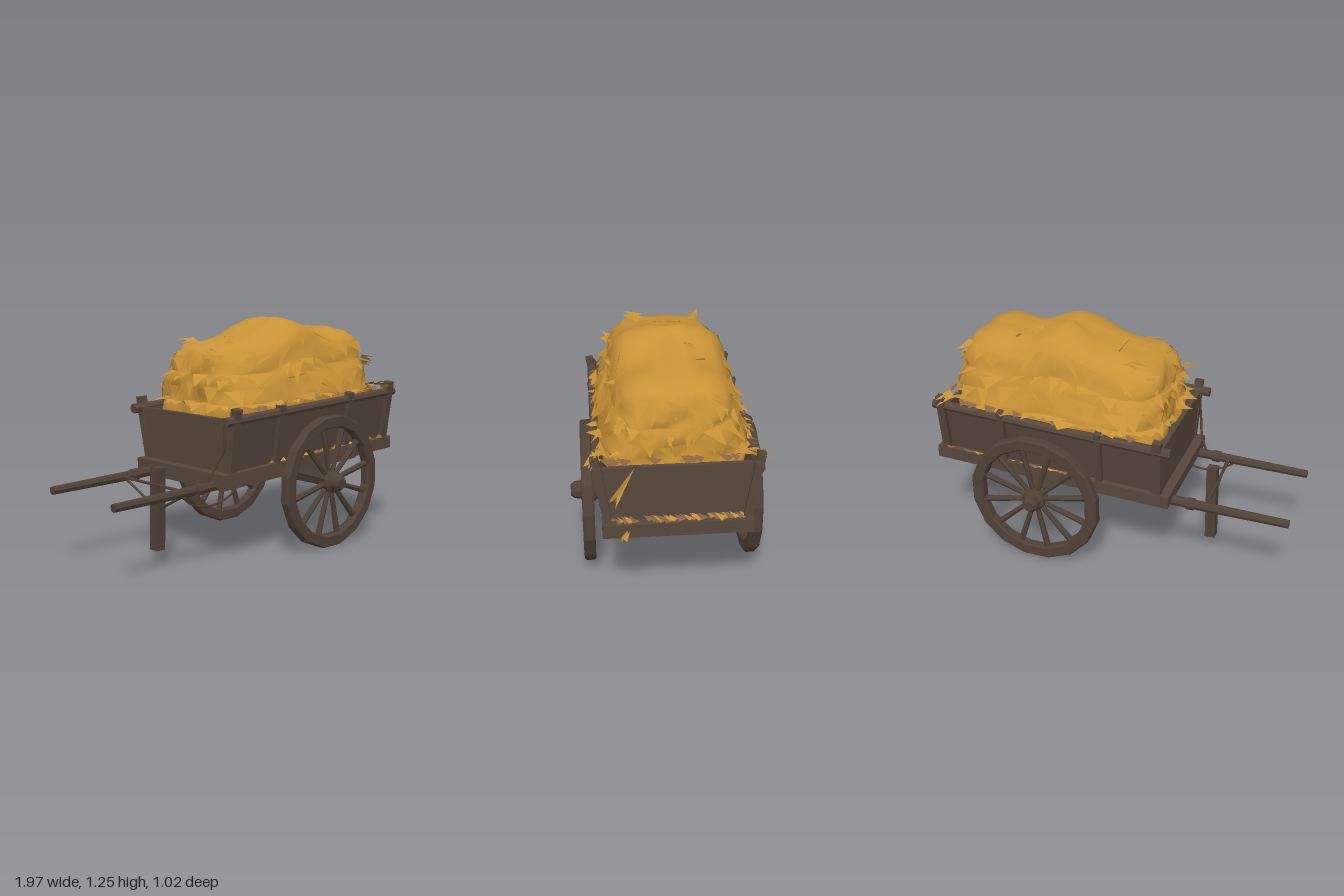
import * as THREE from 'three';

const V = (x, y, z) => new THREE.Vector3(x, y, z);
const material = (name, color, extra = {}) =>
  Object.assign(new THREE.MeshStandardMaterial({ color, ...extra }), { name });

export function createModel() {
  const wood = material('weathered wood', 0x56473c, { flatShading: true });
  const darkWood = material('dark wood', 0x4f4136, { flatShading: true });
  const hay = material('hay', 0xc89236, { side: THREE.DoubleSide });
  const dry = material('dry straw', 0x8a6440, { side: THREE.DoubleSide });
  const cord = material('rope', 0x54402f);

  let seed = 11;
  const rnd = (a = 0, b = 1) => {
    seed = (seed * 16807) % 2147483647;
    return a + (b - a) * seed / 2147483647;
  };

  const model = new THREE.Group();
  model.name = 'hayCart';
  const add = (parent, name, geo, mat = wood, x = 0, y = 0, z = 0) => {
    const m = new THREE.Mesh(geo, mat);
    m.name = name;
    m.position.set(x, y, z);
    parent.add(m);
    return m;
  };
  const box = (parent, name, w, h, d, x, y, z) =>
    add(parent, name, new THREE.BoxGeometry(w, h, d), wood, x, y, z);
  // tapered rod between two points
  const rod = (parent, name, a, b, ra, rb = ra, sides = 6, mat = darkWood) => {
    const m = add(parent, name, new THREE.CylinderGeometry(rb, ra, a.distanceTo(b), sides), mat);
    m.position.copy(a).lerp(b, 0.5);
    m.quaternion.setFromUnitVectors(V(0, 1, 0), b.clone().sub(a).normalize());
    return m;
  };
  const rope = (name, r, ...pts) =>
    add(model, name, new THREE.TubeGeometry(new THREE.CatmullRomCurve3(pts), 14, r, 5), cord);

  // ---- wheels: faceted rim, twelve spokes, turned hub
  const polygon = (path, r, n) => {
    for (let i = 0; i <= n; i++) {
      const a = (i + 0.5) / n * Math.PI * 2;
      path[i ? 'lineTo' : 'moveTo'](Math.cos(a) * r, Math.sin(a) * r);
    }
    return path;
  };
  const rimShape = polygon(new THREE.Shape(), 0.362, 16);
  rimShape.holes.push(polygon(new THREE.Path(), 0.31, 16));
  const rimGeo = new THREE.ExtrudeGeometry(rimShape,
    { depth: 0.04, bevelEnabled: true, bevelSize: 0.008, bevelThickness: 0.01, bevelSegments: 1 });
  rimGeo.translate(0, 0, -0.02);
  const hubGeo = new THREE.LatheGeometry([[0, -0.06], [0.045, -0.06], [0.065, -0.03], [0.065, 0.025],
    [0.048, 0.04], [0.045, 0.07], [0.03, 0.09], [0, 0.09]].map(p => new THREE.Vector2(...p)), 10);
  hubGeo.rotateX(Math.PI / 2);
  for (const s of [1, -1]) {
    const wheel = new THREE.Group();
    wheel.name = s > 0 ? 'frontWheel' : 'backWheel';
    wheel.position.set(0.347, 0.367, 0.42 * s);
    if (s < 0) wheel.rotation.y = Math.PI;
    add(wheel, 'rim', rimGeo, darkWood);
    add(wheel, 'hub', hubGeo, darkWood);
    for (let i = 0; i < 12; i++) {
      const a = (i + 0.4) / 12 * Math.PI * 2, c = Math.cos(a), d = Math.sin(a);
      rod(wheel, 'spoke', V(c * 0.04, d * 0.04, 0), V(c * 0.31, d * 0.31, 0), 0.013, 0.018);
    }
    model.add(wheel);
  }
  rod(model, 'axle', V(0.347, 0.367, -0.4), V(0.347, 0.367, 0.4), 0.031, 0.031, 8);
  box(model, 'axleBolster', 0.12, 0.075, 0.67, 0.347, 0.425, 0);

  // ---- tilted bed: floor, sloping sides, posts and rails
  const bed = new THREE.Group();
  bed.name = 'bed';
  bed.position.set(0.288, 0.482, 0);
  bed.rotation.z = 0.044;
  model.add(bed);
  box(bed, 'floor', 1.34, 0.068, 0.715, 0, 0, 0);
  box(bed, 'underFloor', 1.04, 0.03, 0.66, -0.14, -0.038, 0);
  const lean = 0.17;
  for (const s of [1, -1]) {
    const side = new THREE.Group();
    side.name = s > 0 ? 'frontSide' : 'backSide';
    side.position.set(0, 0.025, 0.312 * s);
    side.rotation.x = lean * s;
    bed.add(side);
    box(side, 'sidePanel', 1.25, 0.29, 0.022, 0, 0.145, 0);
    rod(side, 'rail', V(-0.67, 0.288, 0.012 * s), V(0.67, 0.288, 0.012 * s), 0.027, 0.025, 8, wood);
    [-0.6, -0.28, 0.27, 0.62].forEach((x, i) => {
      const end = i % 3 === 0;
      box(side, 'post', end ? 0.045 : 0.036, end ? 0.35 : 0.33, 0.04, x, end ? 0.175 : 0.165, 0.016 * s);
    });
  }
  const endShape = new THREE.Shape([[-0.315, 0], [0.315, 0], [0.36, 0.285], [-0.36, 0.285]]
    .map(p => new THREE.Vector2(...p)));
  const endGeo = new THREE.ExtrudeGeometry(endShape, { depth: 0.025, bevelEnabled: false });
  endGeo.rotateY(Math.PI / 2);
  for (const x of [-0.62, 0.595]) add(bed, 'endPanel', endGeo, wood, x, 0.025, 0);

  // ---- shafts, crossbar, prop leg and ropes
  for (const s of [1, -1]) {
    rod(model, 'shaft', V(-1, 0.406, 0.26 * s), V(-0.55, 0.416, 0.263 * s), 0.022, 0.026, 8);
    rod(model, 'shaft', V(-0.55, 0.416, 0.263 * s), V(0.3, 0.443, 0.266 * s), 0.026, 0.031, 8);
    rod(model, 'shaftCollar', V(-0.5, 0.417, 0.263 * s), V(-0.46, 0.418, 0.263 * s), 0.033, 0.033, 8);
    rod(model, 'legBrace', V(-0.53, 0.275, 0), V(-0.54, 0.4, 0.25 * s), 0.007);
  }
  rod(model, 'crossbar', V(-0.555, 0.415, -0.26), V(-0.555, 0.415, 0.26), 0.008);
  rod(model, 'propLeg', V(-0.533, 0.063, 0), V(-0.525, 0.502, 0), 0.04, 0.04, 4).rotateY(Math.PI / 4);
  rope('hangingRope', 0.006, V(-0.6, 0.4, 0.28), V(-0.52, 0.345, 0.27), V(-0.4, 0.32, 0.26),
    V(-0.28, 0.35, 0.27), V(-0.2, 0.42, 0.28));
  rope('tieRope', 0.007, V(-0.35, 0.74, 0.32), V(-0.36, 0.62, 0.33), V(-0.38, 0.53, 0.29), V(-0.42, 0.43, 0.26));

  // ---- hay mound: stacked rounded rectangles under a humped ridge
  const bump = (x, c, w) => Math.exp(-(((x - c) / w) ** 2));
  const ridge = x => 1.125 + 0.13 * bump(x, 0.28, 0.21) + 0.08 * bump(x, 0.71, 0.15) + 0.015 * bump(x, -0.14, 0.12);
  const railTop = x => 0.815 + (x - 0.288) * 0.044;
  const layers = [ // height, x scale, z scale
    [0, 1.01, 0.95], [0.17, 1, 1], [0.27, 0.97, 0.94], [0.42, 1, 0.89], [0.56, 0.99, 0.83], [0.6, 0.96, 0.78],
    [0.72, 0.97, 0.78], [0.85, 0.93, 0.7], [0.93, 0.87, 0.58], [0.975, 0.7, 0.4], [1, 0.4, 0.2], [1, 0, 0]];
  const surface = (a, v, out = 0) => {
    const i = Math.min(layers.length - 2, Math.max(0, Math.floor(v))), t = v - i;
    const [h, sx, sz] = layers[i].map((p, k) => p + (layers[i + 1][k] - p) * t);
    const c = Math.cos(a), d = Math.sin(a);
    const r = 1 / Math.pow(Math.abs(c) ** 5 + Math.abs(d) ** 5, 0.2);
    const lump = 1 + 0.02 * Math.sin(a * 7 + v * 2.1) + 0.015 * Math.sin(a * 13 - v * 1.3);
    const x = 0.283 + (0.582 * sx * lump + out) * r * c;
    return V(x, 0.74 + (ridge(x) - 0.74) * h, (0.366 * sz * lump + out) * r * d);
  };
  const N = 56, pos = [], idx = [];
  for (let j = 0; j < layers.length; j++) for (let i = 0; i < N; i++) {
    pos.push(...surface(i / N * Math.PI * 2, j).toArray());
    if (j === layers.length - 1) continue;
    const a = j * N + i, b = j * N + (i + 1) % N;
    idx.push(a, a + N, b, b, a + N, b + N);
  }
  const mound = new THREE.BufferGeometry();
  mound.setAttribute('position', new THREE.Float32BufferAttribute(pos, 3));
  mound.setIndex(idx);
  mound.computeVertexNormals();
  add(model, 'hayMound', mound, hay);

  // ---- loose straw gathered as pointed blades, each wound to face away from the load
  const blades = { hay: [], dry: [] };
  const blade = (list, a, b, tip) => {
    const normal = b.clone().sub(a).cross(tip.clone().sub(a));
    const away = V((a.x - 0.283) * 0.5, 0.25, a.z);
    const corners = normal.dot(away) > 0 ? [a, b, tip] : [a, tip, b];
    for (const p of corners) list.push(...p.toArray());
  };
  // shaggy tiers, the lowest draped over the rails
  for (const [v, n, reach] of [[1.1, 50, 0.065], [2.6, 36, 0.04], [4.2, 40, 0.045], [6.2, 30, 0.03]])
    for (let i = 0; i < n; i++) {
      const a = (i + rnd(-0.4, 0.4)) / n * Math.PI * 2, w = rnd(0.04, 0.13);
      const top = v + rnd(0.2, v > 2 ? 1 : 0.6);
      const tip = surface(a + rnd(-0.12, 0.12), Math.max(0.3, top - rnd(0.8, 1.8)), rnd(0.015, reach));
      tip.y = Math.max(tip.y - rnd(0, 0.02), railTop(tip.x) + rnd(0, 0.02));
      blade(blades.hay, surface(a + w, top, 0.008), surface(a - w, top, 0.008), tip);
    }
  // stray stalks poking out of the mound
  for (let i = 0; i < 36; i++) {
    const a = rnd(0, Math.PI * 2), v = rnd(1.5, 8), p = surface(a, v, 0.002);
    const tip = surface(a + rnd(-0.2, 0.2), v - rnd(0, 0.5), rnd(0.015, 0.04));
    blade(blades.hay, p, surface(a + 0.05, v + 0.2, 0.002), tip);
  }
  // straw tufts at the corners and crest
  for (const [x, y, z, dx, dz] of [[0.85, 0.86, 0.35, 0.08, 0.07], [0.85, 0.86, -0.35, 0.08, -0.07],
    [-0.25, 0.95, 0.28, -0.11, 0.04], [-0.1, 1.13, 0.15, -0.13, 0.04], [0.4, 1.22, -0.1, 0.08, -0.05],
    [-0.12, 1.12, -0.16, -0.11, -0.05], [0.78, 1.1, -0.2, 0.07, -0.05], [0.8, 1.0, 0.25, 0.08, 0.05]])
    for (let i = 0; i < 5; i++) {
      const p = V(x + rnd(-0.02, 0.02), y + rnd(-0.02, 0.02), z + rnd(-0.02, 0.02));
      blade(blades.hay, p, p.clone().add(V(-dz * 0.4, 0.015, dx * 0.4)),
        p.clone().add(V(dx * rnd(0.6, 1.1), rnd(-0.03, 0.02), dz * rnd(0.6, 1.1))));
    }
  // stalks hanging over the tail end
  for (const [top, end] of [[V(0.91, 0.83, 0.2), V(0.96, 0.64, 0.31)], [V(0.95, 0.54, 0.22), V(0.965, 0.46, 0.26)]])
    for (let i = 0; i < 6; i++) {
      const mid = top.clone().lerp(end, rnd(0.3, 0.6));
      const tip = end.clone().add(V(rnd(-0.02, 0.01), rnd(-0.01, 0.05), rnd(-0.02, 0.02)));
      blade(blades.hay, top, mid, tip);
      blade(blades.hay, mid, mid.clone().add(V(0.01, -0.03, 0.025)), tip);
    }
  // litter along the floor ledges
  for (let i = 0; i < 90; i++) {
    const tail = i % 2, x = tail ? rnd(0.915, 0.94) : rnd(-0.1, 0.85);
    const z = tail ? rnd(-0.33, 0.28) : (i % 4 ? 0.345 : -0.345);
    const p = V(x, 0.522 + (x - 0.288) * 0.044, z), l = rnd(0.03, 0.08);
    blade(i % 3 ? blades.dry : blades.hay, p, p.clone().add(V(tail ? -0.02 : l, 0.014, tail ? l : -0.015)),
      p.clone().add(V(tail ? 0.022 : l * 0.6, rnd(-0.004, 0.01), tail ? l * 0.6 : 0.02 * Math.sign(z))));
  }
  // dry wisps lying along the rails and the tail edge
  for (let i = 0; i < 30; i++) {
    const tail = i % 3 === 0, s = i % 2 ? 1 : -1, x = tail ? 0.885 : rnd(-0.25, 0.8);
    const p = V(x, railTop(x) + 0.012, tail ? rnd(-0.3, 0.3) : 0.36 * s), l = rnd(0.04, 0.08);
    blade(blades.dry, p, p.clone().add(V(tail ? 0 : l, 0.015, tail ? l : 0)),
      p.clone().add(V(tail ? 0.04 : l * 0.5, -0.006, tail ? l * 0.5 : 0.04 * s)));
  }
  // dry streaks lying across the crest
  for (const [x, z0, z1, w] of [[0.53, -0.16, -0.04, 0.02], [-0.02, -0.1, 0.12, 0.008]])
    blade(blades.dry, V(x - w / 2, ridge(x) + 0.006, z0), V(x + w / 2, ridge(x) + 0.006, z0), V(x, ridge(x) + 0.006, z1));
  for (const [key, name, mat] of [['hay', 'looseStraw', hay], ['dry', 'dryStraw', dry]]) {
    const g = new THREE.BufferGeometry();
    g.setAttribute('position', new THREE.Float32BufferAttribute(blades[key], 3));
    g.computeVertexNormals();
    add(model, name, g, mat);
  }
  return model;
}
